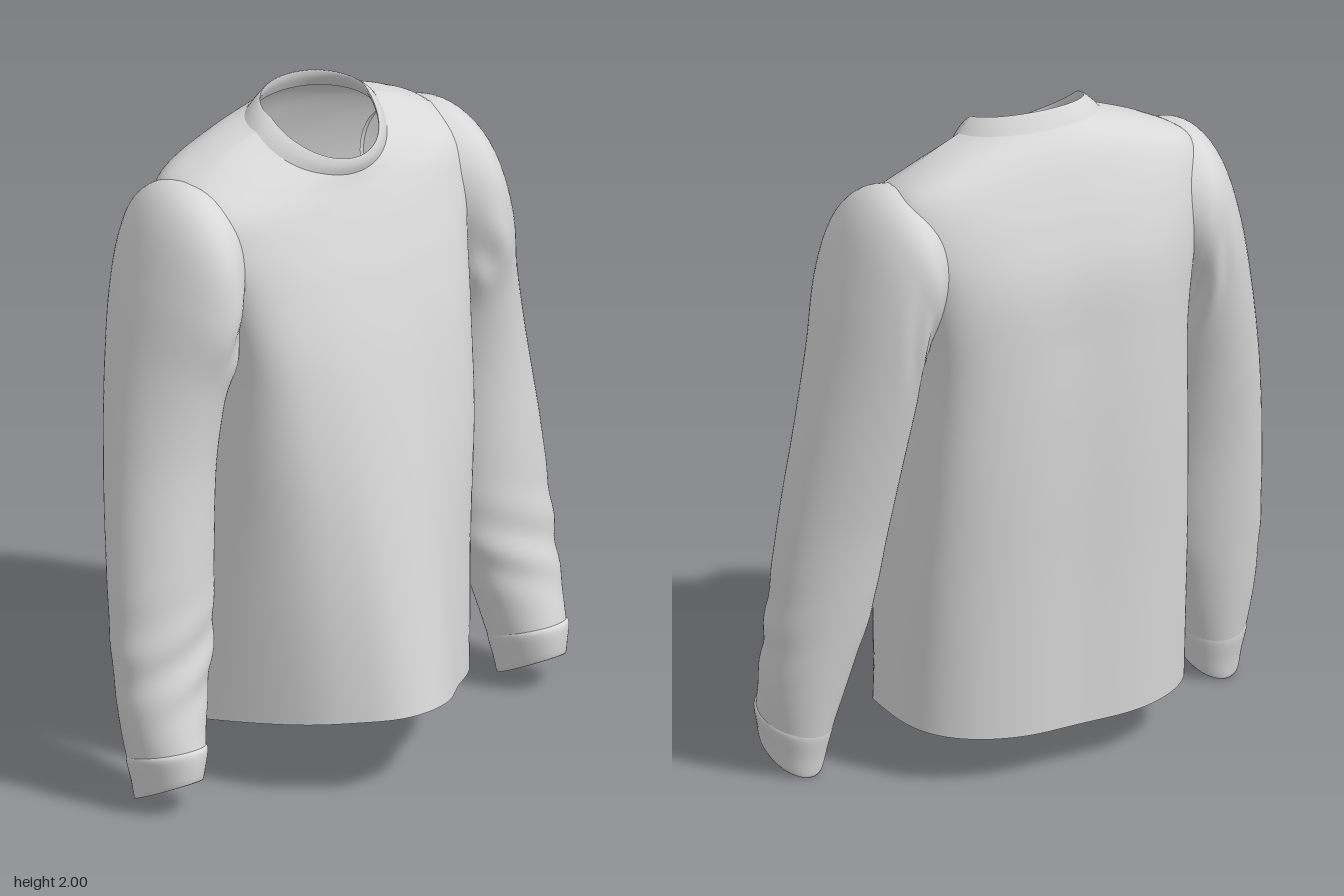
import * as THREE from 'three';

const fabric = new THREE.MeshStandardMaterial({ color: 0xd8d8d8, side: THREE.DoubleSide });
fabric.name = 'light grey fabric';

// Smoothly blend a table of cross-section rows, t in 0..1
function sample(rows, t) {
  const n = rows.length - 1;
  const f = t * n;
  const i = Math.min(Math.floor(f), n - 1);
  const u = f - i;
  const [a, b, c, d] = [-1, 0, 1, 2].map(k => rows[Math.min(Math.max(i + k, 0), n)]);
  return b.map((_, k) => {
    const m0 = (c[k] - a[k]) / 2, m1 = (d[k] - b[k]) / 2;
    return (2 * u ** 3 - 3 * u * u + 1) * b[k] + (u ** 3 - 2 * u * u + u) * m0
      + (3 * u * u - 2 * u ** 3) * c[k] + (u ** 3 - u * u) * m1;
  });
}

// Open tube through closed rings; point(row, angle) returns [x, y, z]
function loft(name, rows, steps, segments, point) {
  const positions = [], index = [];
  for (let i = 0; i <= steps; i++) {
    const row = sample(rows, i / steps);
    for (let j = 0; j < segments; j++) {
      positions.push(...point(row, j / segments * Math.PI * 2));
      if (i === steps) continue;
      const a = i * segments + j, b = i * segments + (j + 1) % segments;
      index.push(a, b, b + segments, a, b + segments, a + segments);
    }
  }
  const geometry = new THREE.BufferGeometry();
  geometry.setAttribute('position', new THREE.Float32BufferAttribute(positions, 3));
  geometry.setIndex(index);
  geometry.computeVertexNormals();
  const mesh = new THREE.Mesh(geometry, fabric);
  mesh.name = name;
  return mesh;
}

const bump = (v, centre, width) => Math.exp(-(((v - centre) / width) ** 2));
const clamp01 = v => Math.min(Math.max(v, 0), 1);

// frontY, frontZ, backY, backZ, halfWidth, sideY, sideZ, front power, back power, skew
const bodyRows = [
  [0.26, 0.46, 0.14, -0.445, 0.47, 0.185, -0.05, 1.95, 0.55, -0.09],
  [0.60, 0.39, 0.60, -0.46, 0.46, 0.60, -0.07, 1.4, 0.48, -0.07],
  [0.95, 0.315, 0.95, -0.475, 0.44, 0.95, -0.1, 0.75, 0.42, -0.04],
  [1.27, 0.24, 1.27, -0.48, 0.425, 1.27, -0.12, 0.45, 0.38, -0.02],
  [1.50, 0.17, 1.52, -0.47, 0.45, 1.48, -0.13, 0.42, 0.38, 0],
  [1.64, 0.115, 1.69, -0.425, 0.49, 1.65, -0.14, 0.48, 0.42, 0],
  [1.72, 0.08, 1.82, -0.37, 0.49, 1.79, -0.14, 0.6, 0.52, 0],
  [1.765, 0.06, 1.90, -0.327, 0.37, 1.868, -0.13, 0.75, 0.7, 0],
  [1.795, 0.05, 1.95, -0.285, 0.225, 1.925, -0.12, 0.95, 0.95, 0.005],
];

// Collar band: outside, rim, then a lining down the inside
const collarRows = [
  [1.79, 0.052, 1.945, -0.288, 0.228, 1.92, -0.12, 1, 0.95, 0.01],
  [1.815, 0.059, 1.975, -0.27, 0.206, 1.945, -0.115, 1, 0.95, 0.01],
  [1.84, 0.056, 2.00, -0.253, 0.18, 1.965, -0.11, 1, 0.95, 0.01],
  [1.825, 0.048, 1.975, -0.257, 0.184, 1.945, -0.11, 1, 0.95, 0.01],
  [1.79, 0.042, 1.94, -0.276, 0.21, 1.91, -0.12, 1, 0.95, 0.01],
];

function torsoPoint(row, angle, folds) {
  const [fy, fz, by, bz, width, sy, sz, fp, bp, skew] = row;
  const s = Math.sin(angle), c = Math.cos(angle);
  const front = c > 0;
  const w = Math.abs(c) ** (front ? fp : bp);
  const x = width * s + (front ? skew * c * c : 0);
  const y = sy + ((front ? fy : by) - sy) * w;
  let z = sz + ((front ? fz : bz) - sz) * w;
  if (folds) {
    // Soft hanging folds in front, a shallow hollow down the back
    const drop = clamp01((1.6 - y) / 1.2);
    if (front) z += drop * (0.015 * bump(x, 0.29, 0.07) - 0.015 * bump(x, 0.13, 0.07) - 0.012 * bump(x, -0.27, 0.07));
    else z += 0.022 * bump(x, 0, 0.15) * clamp01((1.85 - y) * 2);
  }
  return [x, y, z];
}

// outerX, outerY, innerX, innerY, frontZ, backZ, tilt (front raised, back lowered)
const sleeveRows = [
  [0.798, 0.16, 0.585, 0.16, 0.14, -0.105, 0.035],
  [0.812, 0.29, 0.548, 0.29, 0.11, -0.135, 0.02],
  [0.812, 0.50, 0.49, 0.50, 0.08, -0.18, 0],
  [0.79, 0.80, 0.46, 0.76, 0.06, -0.235, 0],
  [0.75, 1.08, 0.44, 0.98, 0.052, -0.295, 0],
  [0.70, 1.34, 0.425, 1.15, 0.07, -0.345, 0],
  [0.65, 1.56, 0.42, 1.26, 0.105, -0.375, 0],
  [0.585, 1.74, 0.41, 1.33, 0.105, -0.39, 0],
  [0.50, 1.82, 0.40, 1.38, 0.075, -0.395, 0],
  [0.38, 1.81, 0.37, 1.45, 0.01, -0.35, 0],
];

// Cuff: lining, rim, band, top edge
const cuffRows = [
  [0.765, 0.10, 0.62, 0.10, 0.125, -0.075, 0.05],
  [0.778, 0.057, 0.613, 0.057, 0.145, -0.083, 0.055],
  [0.79, 0.11, 0.597, 0.11, 0.15, -0.093, 0.05],
  [0.803, 0.165, 0.582, 0.165, 0.147, -0.107, 0.035],
  [0.795, 0.18, 0.59, 0.18, 0.132, -0.1, 0.03],
];

function armPoint(row, angle, side, folds) {
  const [ox, oy, ix, iy, fz, bz, tilt] = row;
  const s = Math.sin(angle * side), c = Math.cos(angle);
  let r = 1;
  if (folds) {
    // Creases bunching at the forearm and around the armpit
    const y = (oy + iy) / 2;
    r += 0.045 * bump(y, 0.45, 0.15) * Math.sin(y * 36 + s * 3) * (0.5 + 0.5 * c)
      + 0.04 * bump(y, 1.45, 0.1) * Math.sin(angle * side * 9 + y * 14) * Math.max(0, 0.5 - s);
  }
  const x = (ox + ix) / 2 + (ox - ix) / 2 * s * r;
  const y = (oy + iy) / 2 + (oy - iy) / 2 * s * r + tilt * c;
  const z = (fz + bz) / 2 + (fz - bz) / 2 * c * r;
  return [side * x, y, z];
}

export function createModel() {
  const model = new THREE.Group();
  model.name = 'sweatshirt';
  model.add(loft('body', bodyRows, 72, 144, (r, a) => torsoPoint(r, a, true)));
  model.add(loft('collar', collarRows, 16, 80, (r, a) => torsoPoint(r, a, false)));
  for (const [side, label] of [[1, 'left'], [-1, 'right']]) {
    model.add(loft(label + 'Sleeve', sleeveRows, 90, 64, (r, a) => armPoint(r, a, side, true)));
    model.add(loft(label + 'Cuff', cuffRows, 16, 48, (r, a) => armPoint(r, a, side, false)));
  }
  return model;
}
